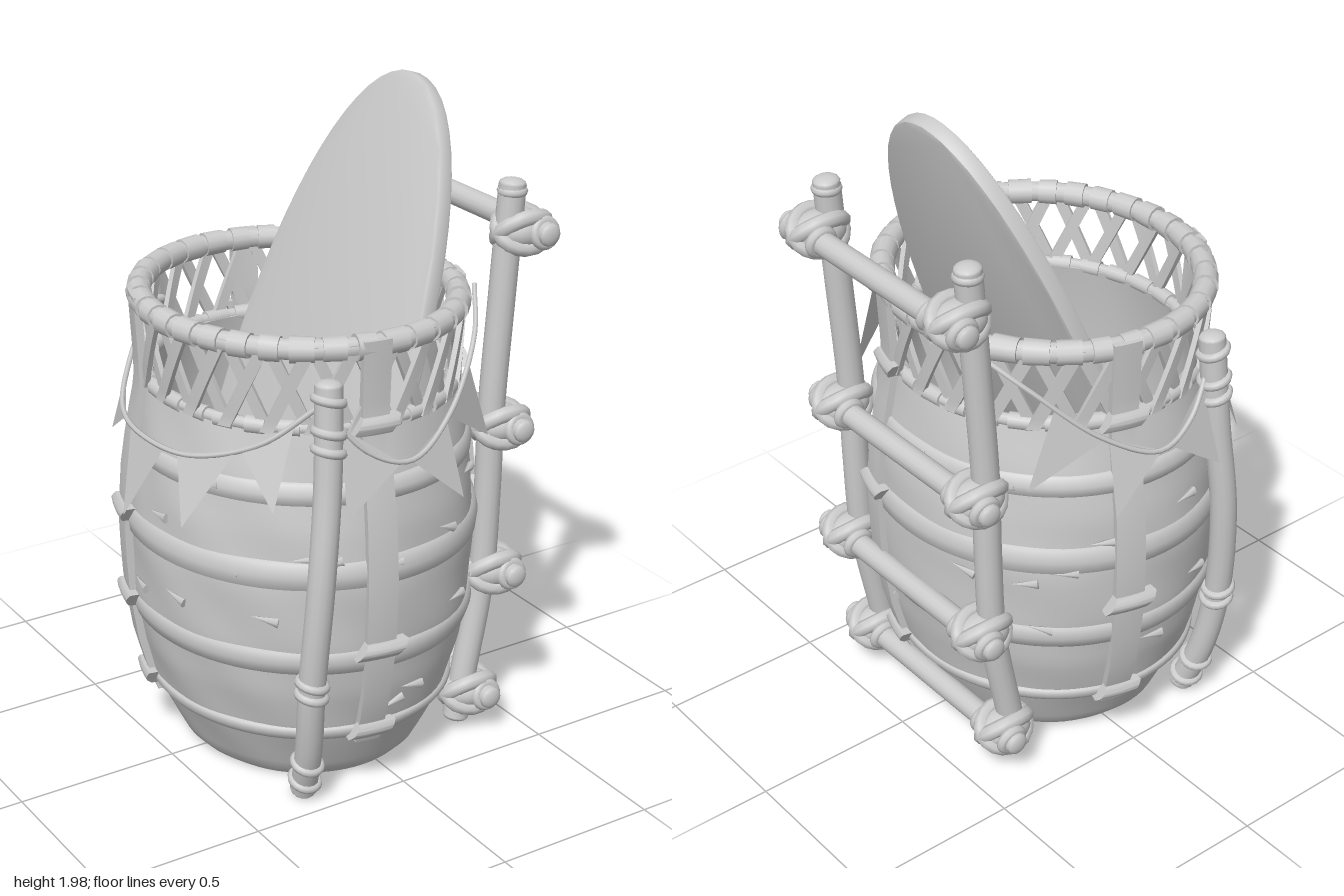
import * as THREE from 'three';
import { mergeVertices, toCreasedNormals } from 'three/addons/utils/BufferGeometryUtils.js';

const CX = -0.05, SX = 0.92; // basket centre and its oval squash in x
const PROFILE = [[0.02, 0.36], [0.05, 0.39], [0.12, 0.425], [0.22, 0.475], [0.36, 0.515], [0.52, 0.54],
  [0.7, 0.55], [0.88, 0.54], [1.04, 0.515], [1.18, 0.485], [1.45, 0.5]];

// Basket radius at a height
function radius(y) {
  for (let i = 1; i < PROFILE.length; i++) {
    const [y0, r0] = PROFILE[i - 1], [y1, r1] = PROFILE[i];
    if (y <= y1) return r0 + (r1 - r0) * Math.max(0, (y - y0) / (y1 - y0));
  }
  return 0.5;
}

// Point on the basket: angle from the front, height, distance off the surface
function onBasket(a, y, off = 0) {
  const r = radius(y) + off;
  return new THREE.Vector3(CX + SX * r * Math.sin(a), y, r * Math.cos(a));
}

export function createModel() {
  const root = new THREE.Group();
  const mat = new THREE.MeshStandardMaterial({ color: 0xcccccc, roughness: 0.9 });
  const matDouble = new THREE.MeshStandardMaterial({ color: 0xcccccc, roughness: 0.9, side: THREE.DoubleSide });

  const add = (name, geo, parent = root, m = mat) => {
    const mesh = new THREE.Mesh(geo, m);
    mesh.name = name;
    parent.add(mesh);
    return mesh;
  };
  const group = (name) => {
    const g = new THREE.Group();
    g.name = name;
    root.add(g);
    return g;
  };

  // Thin box bent round the basket; it may slant from angle a0 to a1
  function wrap(name, parent, a0, a1, y0, y1, w, off, t, bulge = 0) {
    const geo = new THREE.BoxGeometry(w, 1, t, 4, 14, 1);
    const p = geo.attributes.position;
    for (let i = 0; i < p.count; i++) {
      const v = p.getY(i) + 0.5, u = p.getX(i);
      const puff = p.getZ(i) > 0 ? bulge * Math.sin(Math.PI * v) : 0;
      const q = onBasket(a0 + (a1 - a0) * v + u / 0.52, y0 + (y1 - y0) * v, off + p.getZ(i) + puff);
      p.setXYZ(i, q.x, q.y, q.z);
    }
    return add(name, toCreasedNormals(geo, 0.7), parent);
  }

  // Round pole through a few points, with domed ends
  function pole(name, pts, r, parent) {
    const curve = new THREE.CatmullRomCurve3(pts);
    add(name, new THREE.TubeGeometry(curve, 28, r, 14), parent);
    for (const t of [0, 1]) {
      const cap = add(name + 'End', new THREE.SphereGeometry(r, 14, 8), parent);
      cap.position.copy(curve.getPoint(t));
      cap.quaternion.setFromUnitVectors(new THREE.Vector3(0, 1, 0), curve.getTangent(t));
      cap.scale.y = 0.45;
    }
    return curve;
  }

  // Ring of cord round a pole
  function cord(parent, at, dir, r, tube) {
    const ring = add('cord', new THREE.TorusGeometry(r, tube, 8, 18), parent);
    ring.position.copy(at);
    ring.quaternion.setFromUnitVectors(new THREE.Vector3(0, 0, 1), dir.clone().normalize());
    return ring;
  }

  // Basket wall: outside up, over the lip, inside down to a floor
  const body = group('basketBody');
  const outer = [];
  for (let i = 0; i <= 40; i++) {
    const y = 0.02 + 1.16 * i / 40;
    outer.push(new THREE.Vector2(radius(y), y));
  }
  const inner = [1.18, 0.9, 0.6, 0.3, 0.06].map((y) => new THREE.Vector2(radius(y) - 0.035, y));
  const wall = new THREE.LatheGeometry([new THREE.Vector2(0, 0.02), ...outer, ...inner, new THREE.Vector2(0, 0.06)], 72);
  wall.deleteAttribute('uv');
  wall.deleteAttribute('normal');
  const p = wall.attributes.position;
  for (let i = 0; i < p.count; i++) {
    const x = p.getX(i), y = p.getY(i), z = p.getZ(i), a = Math.atan2(x, z);
    const k = 1 + 0.008 * Math.sin(7 * a + 9 * y) * Math.sin(11 * y + 3 * Math.cos(a));
    p.setXYZ(i, CX + SX * x * k, y, z * k);
  }
  add('wall', toCreasedNormals(mergeVertices(wall), 0.7), body, matDouble);

  // Horizontal bands
  for (const [y, h] of [[0.22, 0.05], [0.48, 0.08], [0.76, 0.09], [1.0, 0.07]]) {
    const pts = [[-0.5, -0.01], [-0.42, 0.008], [0, 0.015], [0.42, 0.008], [0.5, -0.01]]
      .map(([v, d]) => new THREE.Vector2(radius(y + v * h) + d, y + v * h));
    const band = add('band', new THREE.LatheGeometry(pts, 72), body, matDouble);
    band.scale.x = SX;
    band.position.x = CX;
  }

  // Small splinters lifting from the wall
  let seed = 7;
  const rnd = () => (seed = (seed * 16807) % 2147483647) / 2147483647;
  for (let i = 0; i < 36; i++) {
    const a = i * 2.4, y = 0.3 + 0.75 * rnd();
    const s = add('splinter', new THREE.ConeGeometry(0.016, 0.08, 5), body);
    s.position.copy(onBasket(a, y, 0.004));
    s.rotation.set(0, a, 1.2 + 0.7 * rnd(), 'YXZ');
    s.scale.z = 0.8;
  }

  // Vertical straps held by short cross ties
  const straps = group('straps');
  for (const [a, ties] of [[-0.14, [0.23, 0.52, 1.19]], [1.24, [0.23, 0.78, 1.19]], [2.9, [0.23, 0.6, 1.19]], [-1.9, [0.23, 0.5, 0.78]]]) {
    wrap('strap', straps, a, a, 0.18, 1.44, 0.09, 0.012, 0.025);
    for (const y of ties) wrap('strapTie', straps, a - 0.03, a + 0.03, y - 0.025, y + 0.025, 0.125, 0.02, 0.03, 0.012);
  }

  // Open lattice collar between two hoops bound with short wraps
  const collar = group('latticeCollar');
  const N = 24, step = Math.PI * 2 / N;
  for (let i = 0; i < N; i++) {
    const a = i * step;
    wrap('latticeStrip', collar, a, a + step, 1.17, 1.43, 0.042, 0.006, 0.016);
    wrap('latticeStrip', collar, a, a - step, 1.17, 1.43, 0.042, -0.01, 0.016);
  }
  for (const [y, r, wraps] of [[1.415, 0.03, 34], [1.18, 0.018, 30]]) {
    const hoopPts = Array.from({ length: 48 }, (_, i) => onBasket(i * Math.PI / 24, y, -0.012));
    const hoop = new THREE.CatmullRomCurve3(hoopPts, true);
    add('hoop', new THREE.TubeGeometry(hoop, 96, r, 10, true), collar);
    for (let i = 0; i < wraps; i++) {
      const t = i / wraps, len = (0.05 + 0.022 * rnd()) * 1.05;
      const w = add('hoopWrap', new THREE.CylinderGeometry(r + 0.006, r + 0.004 + 0.005 * rnd(), len, 12), collar);
      w.position.copy(hoop.getPointAt(t));
      w.quaternion.setFromUnitVectors(new THREE.Vector3(0, 1, 0), hoop.getTangentAt(t));
    }
  }

  // Ladder: two bowed poles, four rungs, lashed joints
  const ladder = group('ladder');
  const railPath = [[0.315, 0.06], [0.34, 0.2], [0.395, 0.5], [0.41, 0.8], [0.415, 1.05], [0.44, 1.4], [0.465, 1.73]];
  const rungs = [[0.14, 0.325, 0.38], [0.53, 0.4, 0.46], [1.0, 0.415, 0.47], [1.59, 0.455, 0.535]];
  for (const s of [1, -1]) {
    pole('ladderPole', railPath.map(([x, y]) => new THREE.Vector3(x, y, 0.32 * s)), 0.04, ladder);
    const at = new THREE.Vector3(0.465, 1.71, 0.32 * s);
    cord(ladder, at, new THREE.Vector3(0, 1, 0), 0.03, 0.015);
    for (const [y, px, rx] of rungs) {
      const mid = new THREE.Vector3((px + rx) / 2 + 0.005, y, 0.32 * s);
      const knot = add('knot', new THREE.SphereGeometry(1, 18, 12), ladder);
      knot.position.copy(mid);
      knot.scale.set(0.085, 0.058, 0.07);
      for (const d of [1, -1]) {
        const loop = cord(ladder, mid, new THREE.Vector3(0, 1, d), 0.07, 0.024);
        loop.scale.set(1.08, 0.95, 1);
        cord(ladder, new THREE.Vector3(rx, y, mid.z + 0.065 * d), new THREE.Vector3(0, 0.2, 1), 0.035, 0.016);
      }
    }
  }
  for (const [y, , x] of rungs) {
    pole('rung', [-0.41, -0.15, 0.15, 0.41].map((z) => new THREE.Vector3(x, y, z)), 0.035, ladder);
  }

  // Upright poles tied to the front and back, and the bunting strings
  const sidePath = [[-0.285, 0.04, 0.4], [-0.305, 0.2, 0.46], [-0.32, 0.42, 0.5], [-0.305, 0.75, 0.525], [-0.275, 1.05, 0.51], [-0.26, 1.33, 0.49]];
  const poles = group('sidePoles');
  const bunting = group('bunting');
  const frontString = [[-0.48, 1.27], [-0.2, 1.12], [0.05, 1.08], [0.4, 1.16], [0.8, 1.32], [1.1, 1.42]];
  const endString = [[-0.48, 1.27], [-0.8, 1.15], [-1.2, 1.08], [-1.57, 1.07], [-1.94, 1.08], [-2.34, 1.15], [-2.66, 1.27]];
  const frontFlags = [[-0.36, 1.2, -0.02, 1.08, -0.36, 0.95], [0.04, 1.08, 0.36, 1.15, 0.36, 0.93], [0.38, 1.155, 0.66, 1.27, 0.8, 1.02]];
  const endFlags = [[-0.62, 1.21, -0.9, 1.12, -0.72, 0.97], [-0.95, 1.11, -1.3, 1.075, -1.2, 0.88],
    [-1.4, 1.07, -1.75, 1.07, -1.65, 0.82], [-1.85, 1.075, -2.25, 1.13, -2.35, 0.92]];

  function string(pts, turn) {
    const curve = new THREE.CatmullRomCurve3(pts.map(([a, y]) => onBasket(turn(a), y, 0.045)));
    add('string', new THREE.TubeGeometry(curve, 40, 0.008, 6), bunting);
  }
  function flag([a0, y0, a1, y1, a2, y2], turn) {
    const pts = [onBasket(turn(a0), y0, 0.045), onBasket(turn(a1), y1, 0.045), onBasket(turn(a2), y2, 0.07)];
    const geo = new THREE.BufferGeometry().setFromPoints(pts);
    geo.computeVertexNormals();
    add('flag', geo, bunting, matDouble);
  }
  for (const s of [1, -1]) {
    const turn = (a) => (s > 0 ? a : Math.PI - a);
    const curve = pole('sidePole', sidePath.map(([x, y, z]) => new THREE.Vector3(x, y, z * s)), 0.04, poles);
    for (const t of [0.03, 0.09, 0.29, 0.32, 0.86, 0.9, 0.97]) {
      cord(poles, curve.getPointAt(t), curve.getTangentAt(t).add(new THREE.Vector3(0.25, 0, 0)), 0.039, 0.014);
    }
    string(frontString, turn);
    frontFlags.forEach((f) => flag(f, turn));
  }
  string(endString, (a) => a);
  endFlags.forEach((f) => flag(f, (a) => a));

  // Long oval board leaning inside the basket
  const oval = new THREE.Shape().absellipse(0, 0, 0.42, 1.0, 0, Math.PI * 2);
  const boardGeo = new THREE.ExtrudeGeometry(oval, {
    depth: 0.03, bevelEnabled: true, bevelThickness: 0.01, bevelSize: 0.01, bevelSegments: 2, curveSegments: 32,
  });
  boardGeo.translate(0, 0, -0.015).rotateY(Math.PI / 2);
  const board = add('ovalBoard', toCreasedNormals(boardGeo, 0.6));
  board.position.set(-0.005, 1.05, 0);
  board.rotation.z = -0.357;

  return root;
}
